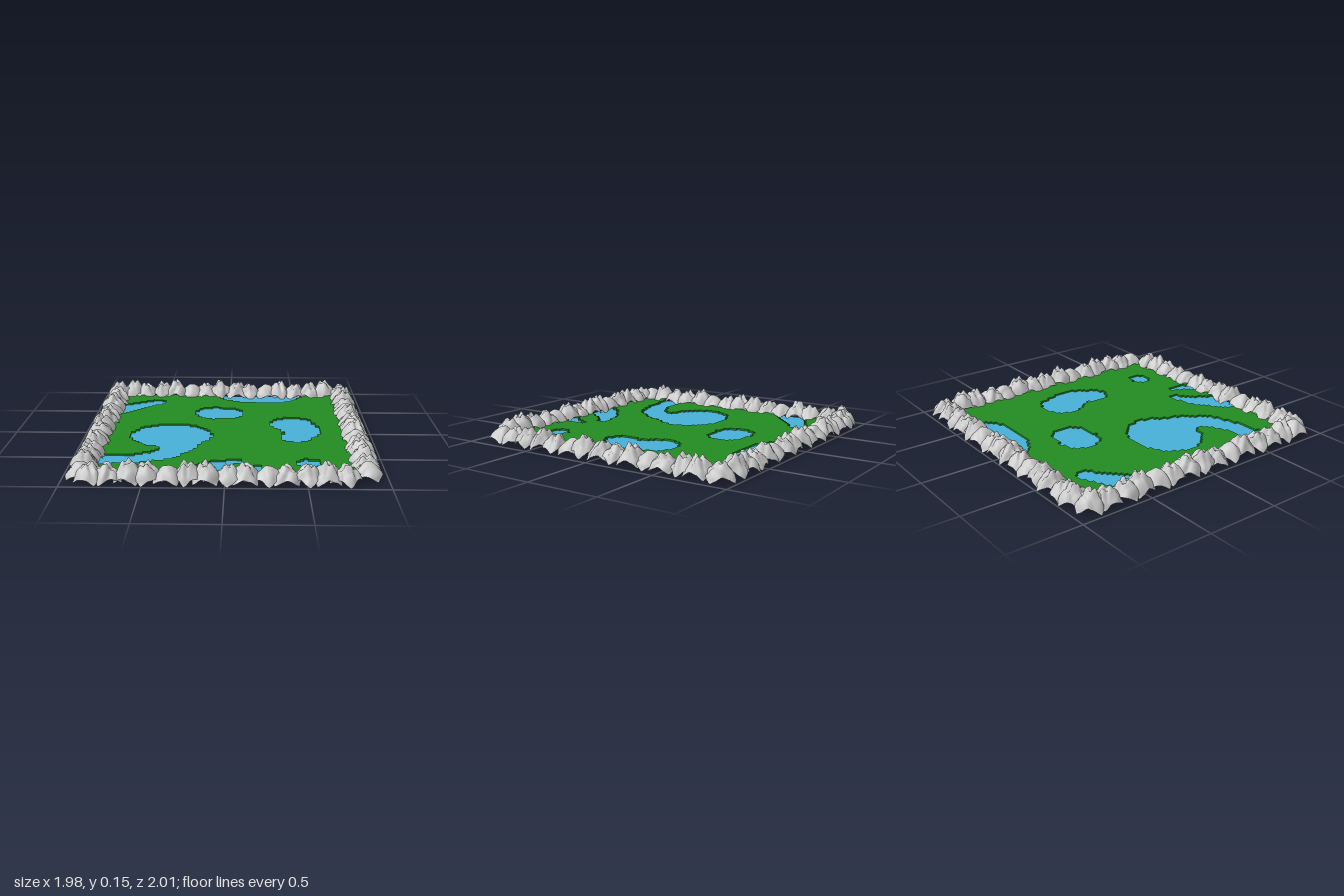
import * as THREE from 'three';

const mat = (color) => new THREE.MeshStandardMaterial({ color, side: THREE.DoubleSide });
const GROUND_Y = 0.03, WATER_Y = 0.018, BED_Y = 0.004;
const CELL = 0.025, N = 70, HALF = (CELL * N) / 2;

// Each pond is a brush stroke through points [x, z, radius]; bed: has a floor, deep: walls reach it
const ponds = [
  { name: 'lakeWithRiver', bed: true, stroke: [[-.44, .11, .23], [-.34, .11, .23], [-.32, .36, .11],
    [-.42, .5, .09], [-.6, .57, .08], [-.9, .6, .08]] },
  { name: 'leftPond', bed: true, deep: true, stroke: [[.46, -.15, .155], [.53, 0, .13], [.48, .13, .11]] },
  { name: 'middlePond', bed: true, stroke: [[-.11, -.4, .14], [-.02, -.4, .13]] },
  { name: 'cornerInlet', bed: true, stroke: [[-.56, -.67, .06], [-.76, -.53, .09], [-.92, -.38, .09]] },
  { name: 'backLake', stroke: [[.04, -.85, .13], [.12, -.84, .16], [.38, -.84, .16], [.48, -.87, .09]] },
  { name: 'frontInlet', stroke: [[.06, .61, .04], [-.08, .69, .08], [-.22, .84, .12]] },
  { name: 'frontCreek', stroke: [[.2, .71, .035], [.19, .78, .045], [.13, .87, .06]] },
  { name: 'smallPond', bed: true, stroke: [[.52, .63, .07], [.54, .63, .065]] },
];

function inside(stroke, x, z) {
  return stroke.slice(1).some(([bx, bz, br], i) => {
    const [ax, az, ar] = stroke[i], dx = bx - ax, dz = bz - az;
    const t = THREE.MathUtils.clamp(((x - ax) * dx + (z - az) * dz) / (dx * dx + dz * dz), 0, 1);
    return Math.hypot(x - ax - t * dx, z - az - t * dz) < ar + t * (br - ar);
  });
}

// Collects quads and turns them into one mesh
class Quads {
  constructor() { this.v = []; }
  add(a, b, c, d) { this.v.push(...a, ...b, ...c, ...a, ...c, ...d); }
  tile(x, z, y) {
    const e = CELL;
    this.add([x, y, z], [x, y, z + e], [x + e, y, z + e], [x + e, y, z]);
  }
  mesh(name, material) {
    const g = new THREE.BufferGeometry();
    g.setAttribute('position', new THREE.Float32BufferAttribute(this.v, 3));
    g.computeVertexNormals();
    const m = new THREE.Mesh(g, material);
    m.name = name;
    return m;
  }
}

// Grassy ground on a square grid, with stepped pond basins cut into it
function makeTerrain() {
  const group = new THREE.Group();
  group.name = 'terrain';
  const pondAt = (i, k) =>
    ponds.findIndex((p) => inside(p.stroke, (i + 0.5) * CELL - HALF, (k + 0.5) * CELL - HALF));
  const ground = new Quads(), banks = new Quads(), beds = new Quads();
  const waters = ponds.map(() => new Quads());
  for (let i = 0; i < N; i++) for (let k = 0; k < N; k++) {
    const x = i * CELL - HALF, z = k * CELL - HALF, n = pondAt(i, k);
    if (n < 0) { ground.tile(x, z, GROUND_Y); continue; }
    waters[n].tile(x, z, WATER_Y);
    if (ponds[n].bed) beds.tile(x, z, BED_Y);
    // bank walls where the neighbouring cell is land
    const low = ponds[n].deep ? BED_Y : WATER_Y, X = x + CELL, Z = z + CELL;
    const wall = (x0, z0, x1, z1) =>
      banks.add([x0, low, z0], [x1, low, z1], [x1, GROUND_Y, z1], [x0, GROUND_Y, z0]);
    if (pondAt(i - 1, k) < 0) wall(x, Z, x, z);
    if (pondAt(i + 1, k) < 0) wall(X, z, X, Z);
    if (pondAt(i, k - 1) < 0) wall(x, z, X, z);
    if (pondAt(i, k + 1) < 0) wall(X, Z, x, Z);
  }
  const grass = mat(0x228b22), water = mat(0x46b0d6);
  group.add(ground.mesh('ground', grass), banks.mesh('pondBanks', grass), beds.mesh('pondBeds', grass));
  waters.forEach((w, i) => group.add(w.mesh(ponds[i].name, water)));
  return group;
}

// A boulder shell: a square sheet pulled up into a dome, its corners left on the ground
function makeRock(rough, seed) {
  const g = new THREE.PlaneGeometry(2, 2, 14, 14).rotateX(-Math.PI / 2);
  const p = g.attributes.position;
  for (let i = 0; i < p.count; i++) {
    const x = p.getX(i), z = p.getZ(i);
    const t = Math.min(1, Math.hypot(x, z) / Math.SQRT2) ** 1.35;
    const dome = 1 - t * t * (3 - 2 * t);
    const ridges = Math.abs(Math.sin(3.1 * x + 2.3 * z + seed)) + Math.abs(Math.sin(4.3 * z - 2.7 * x + seed * 2))
      + 0.5 * Math.sin(9 * x + seed) * Math.sin(8 * z - seed);
    const bulge = 1 + 0.88 * dome * (1 - dome) * (0.6 + 0.4 * Math.sin(5 * x + 4 * z + seed));
    p.setXYZ(i, x * bulge * 0.076, 0.122 * dome * (1 + rough * (ridges - 1.25)), z * bulge * 0.076);
  }
  g.computeVertexNormals();
  return g;
}

// Ring of boulders around the edge, every fifth one smooth
function makeRocks() {
  const group = new THREE.Group();
  group.name = 'rockBorder';
  const material = mat(0xcccccc);
  const craggy = [0.4, 1.7, 2.9].map((s) => makeRock(0.2, s));
  const smooth = makeRock(0.06, 1.1);
  const rows = [
    { name: 'rightRock', at: (s) => [-0.885, s], count: 15, from: -0.87, to: 0.84 },
    { name: 'leftRock', at: (s) => [0.877, s], count: 15, from: -0.88, to: 0.82 },
    { name: 'backRock', at: (s) => [s, -0.9], count: 14, from: -0.78, to: 0.75 },
    { name: 'frontRock', at: (s) => [s, 0.9], count: 14, from: -0.83, to: 0.74 },
  ];
  let n = 0;
  for (const row of rows) for (let i = 0; i < row.count; i++) {
    n++;
    const isSmooth = i % 5 === 4;
    const rock = new THREE.Mesh(isSmooth ? smooth : craggy[n % 3], material);
    const along = THREE.MathUtils.lerp(row.from, row.to, i / (row.count - 1));
    const [x, z] = row.at(along + 0.01 * Math.sin(n * 2.7));
    rock.name = row.name;
    rock.position.set(x, 0.01, z);
    rock.rotation.y = n * 2.4;
    rock.scale.y = isSmooth ? 0.8 : 0.9 + 0.1 * Math.sin(n * 1.9);
    group.add(rock);
  }
  return group;
}

export function createModel() {
  const model = new THREE.Group();
  model.name = 'pondField';
  model.add(makeTerrain(), makeRocks());
  return model;
}
